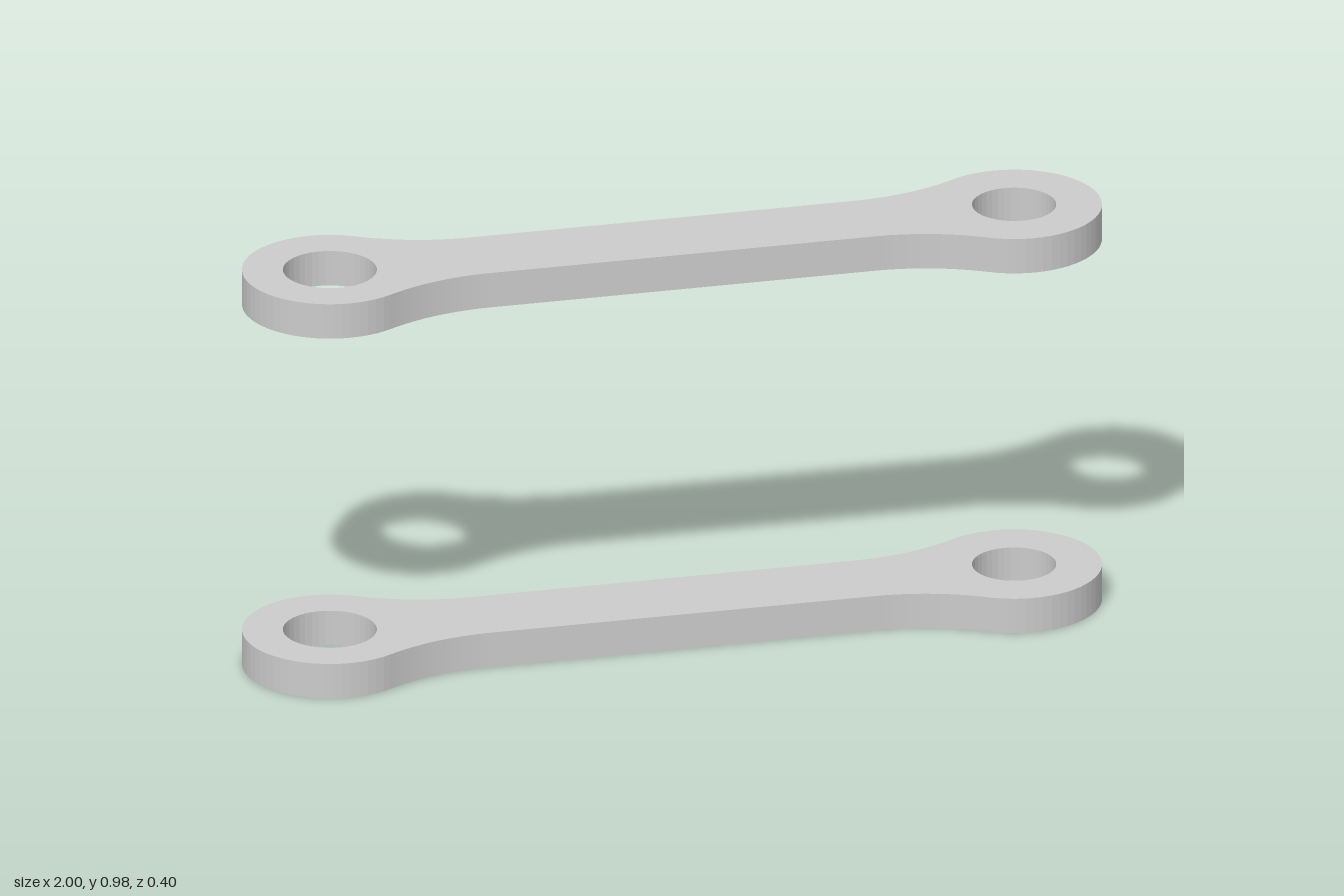
import * as THREE from 'three';

const EYE_X = 0.8, EYE_R = 0.2;        // rounded ends
const HALF_WIDTH = 0.105;              // half width of the straight shank
const FILLET_R = 0.5;                  // blend between shank and ends
const THICKNESS = 0.085;

function linkShape() {
  // Fillet centre: tangent to the shank edge and to the end circle
  const fz = HALF_WIDTH + FILLET_R;
  const dx = Math.sqrt((EYE_R + FILLET_R) ** 2 - fz ** 2);
  const fx = EYE_X - dx;
  const a = Math.atan2(fz, -dx);
  const { PI } = Math;

  // Outline, counter-clockwise from the right end
  const shape = new THREE.Shape();
  shape.absarc(EYE_X, 0, EYE_R, -a, a, false);
  shape.absarc(fx, fz, FILLET_R, a - PI, -PI / 2, true);
  shape.absarc(-fx, fz, FILLET_R, -PI / 2, -a, true);
  shape.absarc(-EYE_X, 0, EYE_R, PI - a, PI + a, false);
  shape.absarc(-fx, -fz, FILLET_R, a, PI / 2, true);
  shape.absarc(fx, -fz, FILLET_R, PI / 2, PI - a, true);

  // Pin holes: the one at -x is slightly larger
  for (const [x, r] of [[-EYE_X, 0.107], [EYE_X, 0.096]]) {
    const hole = new THREE.Path();
    hole.absarc(x, 0, r, 0, 2 * PI, true);
    shape.holes.push(hole);
  }
  return shape;
}

export function createModel() {
  const model = new THREE.Group();
  model.name = 'linkPlates';
  const material = new THREE.MeshStandardMaterial({ color: 0xcccccc });

  const geometry = new THREE.ExtrudeGeometry(linkShape(), {
    depth: THICKNESS, bevelEnabled: false, curveSegments: 20,
  });
  geometry.rotateX(-Math.PI / 2);

  // Two identical plates, one above the other
  for (const [name, y] of [['lowerLink', 0], ['upperLink', 0.89]]) {
    const link = new THREE.Mesh(geometry, material);
    link.name = name;
    link.position.y = y;
    model.add(link);
  }
  return model;
}
